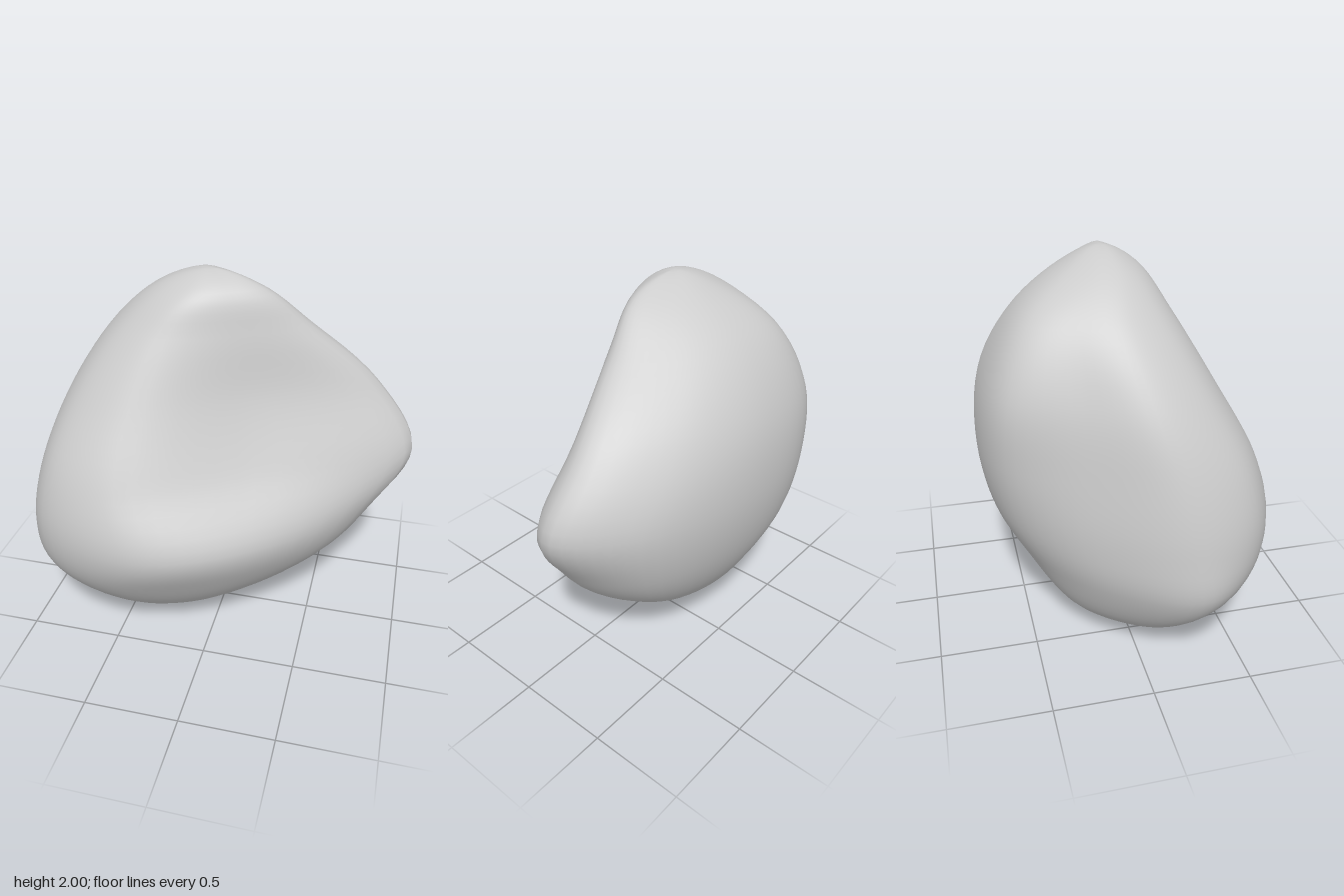
import * as THREE from 'three';

// Horizontal cross-sections: height, then (x, z) corners running tip, back right,
// back, back corner, side hollow, side, nose corner, nose, front
const SECTIONS = [
  [0.15, [0.17, -0.02, 0.07, -0.22, -0.16, -0.31, -0.42, -0.27, -0.62, -0.08, -0.71, 0.14, -0.56, 0.31, -0.35, 0.35, -0.05, 0.24]],
  [0.45, [0.59, -0.05, 0.44, -0.4, 0, -0.54, -0.45, -0.45, -0.79, -0.13, -0.98, 0.26, -0.8, 0.52, -0.4, 0.62, 0.15, 0.42]],
  [0.72, [0.81, -0.12, 0.61, -0.49, 0, -0.66, -0.46, -0.58, -0.79, -0.2, -0.985, 0.23, -0.85, 0.56, -0.3, 0.715, 0.24, 0.48]],
  [1.05, [0.985, -0.19, 0.68, -0.53, 0.02, -0.71, -0.49, -0.635, -0.75, -0.23, -0.92, 0.17, -0.81, 0.5, -0.43, 0.61, 0.22, 0.28]],
  [1.4, [0.77, -0.22, 0.45, -0.53, -0.05, -0.67, -0.51, -0.605, -0.68, -0.25, -0.79, 0.06, -0.69, 0.33, -0.4, 0.42, 0.17, 0.14]],
  [1.72, [0.42, -0.12, 0.23, -0.36, -0.08, -0.5, -0.4, -0.48, -0.53, -0.25, -0.58, -0.03, -0.5, 0.16, -0.3, 0.24, 0.1, 0.1]],
  [1.92, [0.19, -0.05, 0.08, -0.17, -0.08, -0.25, -0.23, -0.24, -0.33, -0.13, -0.34, -0.02, -0.28, 0.06, -0.15, 0.11, 0.03, 0.06]],
];
const BOTTOM = new THREE.Vector3(-0.33, 0, 0);
const TOP = new THREE.Vector3(-0.09, 2, -0.06);
const AROUND = 64;
const UP = 48;

// Smooth closed loop through the corners of one section
function sectionLoop([y, c]) {
  const corners = [];
  for (let i = 0; i < c.length; i += 2) corners.push(new THREE.Vector3(c[i], y, c[i + 1]));
  const curve = new THREE.CatmullRomCurve3(corners, true);
  return Array.from({ length: AROUND }, (_, j) => curve.getPoint(j / AROUND));
}

function stoneGeometry() {
  const loops = SECTIONS.map(sectionLoop);
  const positions = [...BOTTOM.toArray()];
  const index = [];

  // Each meridian continues over the top and down the far side, so both ends stay round
  const meridians = Array.from({ length: AROUND }, (_, j) => {
    const near = loops.map((l) => l[j]);
    const far = loops.map((l) => l[(j + AROUND / 2) % AROUND]).reverse();
    return new THREE.CatmullRomCurve3([BOTTOM, ...near, TOP, ...far], true);
  });
  for (let i = 1; i < UP; i++) {
    for (const m of meridians) positions.push(...m.getPoint((i / UP) / 2).toArray());
  }
  positions.push(...TOP.toArray());

  // Skin between rings, with a fan at each end
  const at = (i, j) => 1 + (i - 1) * AROUND + (j % AROUND);
  const last = positions.length / 3 - 1;
  for (let j = 0; j < AROUND; j++) {
    index.push(0, at(1, j + 1), at(1, j));
    for (let i = 1; i < UP - 1; i++) {
      const a = at(i, j), b = at(i, j + 1), c = at(i + 1, j), d = at(i + 1, j + 1);
      index.push(a, b, d, a, d, c);
    }
    index.push(at(UP - 1, j), at(UP - 1, j + 1), last);
  }

  const geometry = new THREE.BufferGeometry();
  geometry.setAttribute('position', new THREE.Float32BufferAttribute(positions, 3));
  geometry.setIndex(index);
  geometry.computeVertexNormals();
  return geometry;
}

export function createModel() {
  const group = new THREE.Group();
  group.name = 'rock';
  const stone = new THREE.Mesh(stoneGeometry(), new THREE.MeshStandardMaterial({ color: 0xcccccc }));
  stone.name = 'stone';
  group.add(stone);
  return group;
}
